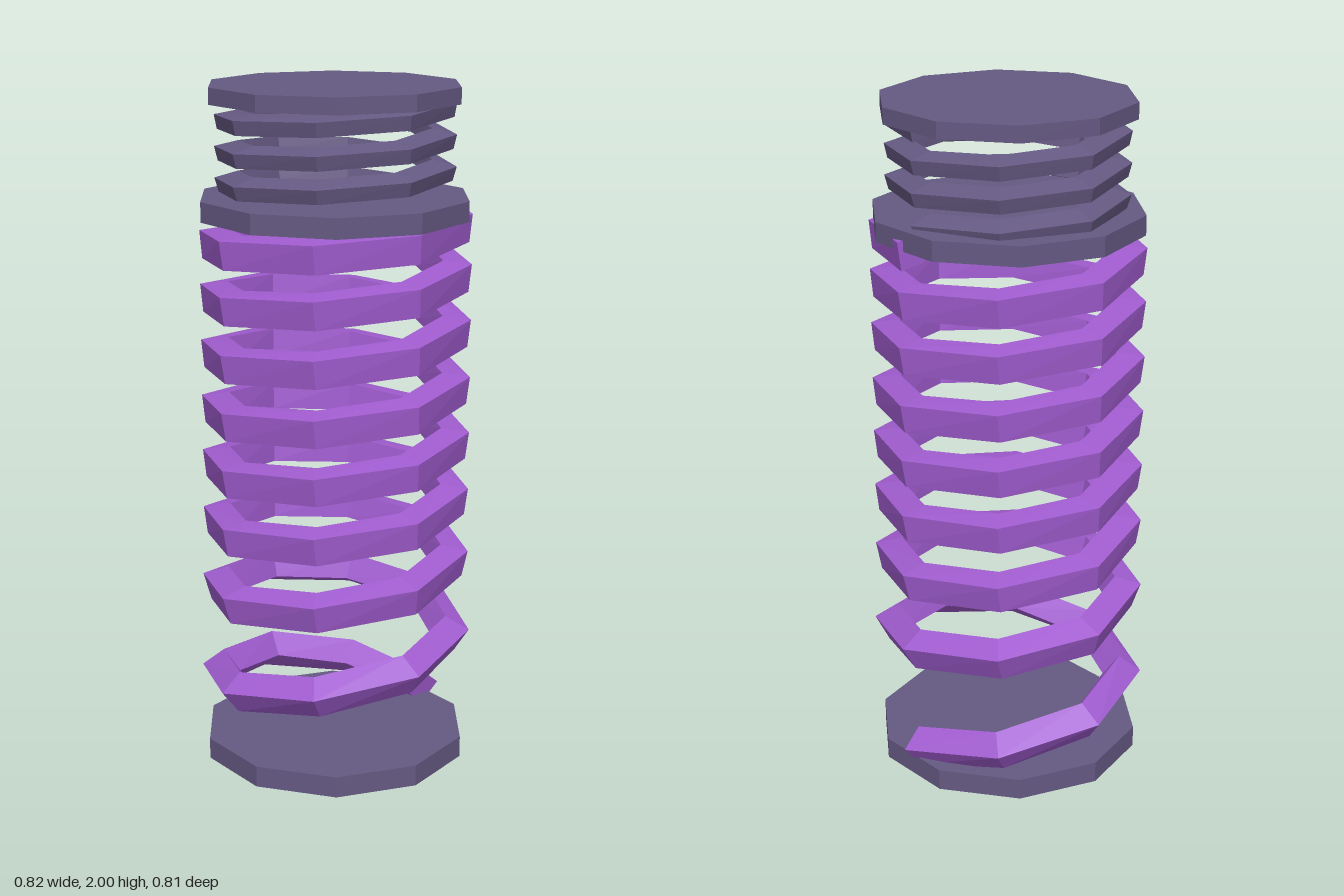
import * as THREE from 'three';

const PURPLE = new THREE.MeshStandardMaterial({ color: 0xa05ccf, flatShading: true });
PURPLE.name = 'purple coil';
const SLATE = new THREE.MeshStandardMaterial({ color: 0x655982, flatShading: true });
SLATE.name = 'slate purple';

const SIDES = 8; // straight pieces per turn

// Linear lookup in a list of [turn, value] pairs
function lookup(keys, t) {
  let i = 0;
  while (i < keys.length - 2 && t > keys[i + 1][0]) i++;
  const [t0, v0] = keys[i], [t1, v1] = keys[i + 1];
  return v0 + (v1 - v0) * (t - t0) / (t1 - t0);
}

// Faceted helix with a rectangular section that rolls along its length
function coilGeometry({ turns, radius, halfWidth, halfHeight, heights, rolls }) {
  const count = turns * SIDES;
  const centre = (i) => {
    const a = i / SIDES * Math.PI * 2;
    return new THREE.Vector3(Math.cos(a) * radius, lookup(heights, i / SIDES), -Math.sin(a) * radius);
  };
  const rings = [];
  for (let i = 0; i <= count; i++) {
    const a = i / SIDES * Math.PI * 2;
    const c = centre(i);
    const out = new THREE.Vector3(Math.cos(a), 0, -Math.sin(a));
    const along = centre(i + 1).sub(centre(i - 1)).normalize();
    const up = new THREE.Vector3().crossVectors(out, along).normalize();
    const roll = -THREE.MathUtils.degToRad(lookup(rolls, i / SIDES));
    const cos = Math.cos(roll), sin = Math.sin(roll);
    rings.push([[1, -1], [1, 1], [-1, 1], [-1, -1]].map(([u, v]) => {
      const r = u * halfWidth, h = v * halfHeight;
      return c.clone().addScaledVector(out, r * cos - h * sin).addScaledVector(up, r * sin + h * cos);
    }));
  }
  const points = [];
  const quad = (a, b, c, d) => points.push(a, b, c, a, c, d);
  for (let i = 0; i < count; i++) {
    for (let k = 0; k < 4; k++) {
      const n = (k + 1) % 4;
      quad(rings[i][k], rings[i + 1][k], rings[i + 1][n], rings[i][n]);
    }
  }
  // end caps
  const first = rings[0], last = rings[count];
  quad(first[0], first[1], first[2], first[3]);
  quad(last[3], last[2], last[1], last[0]);
  const geometry = new THREE.BufferGeometry().setFromPoints(points);
  geometry.computeVertexNormals();
  return geometry;
}

export function createModel() {
  const model = new THREE.Group();
  model.name = 'doubleSpring';

  const add = (name, geometry, material) => {
    const mesh = new THREE.Mesh(geometry, material);
    mesh.name = name;
    model.add(mesh);
    return mesh;
  };

  // Ten-sided plates
  const plate = (name, radius, bottom, top) => {
    add(name, new THREE.CylinderGeometry(radius, radius, top - bottom, 10), SLATE)
      .position.y = (bottom + top) / 2;
  };
  plate('basePlate', 0.395, 0, 0.063);
  plate('middlePlate', 0.395, 1.627, 1.685);
  plate('topPlate', 0.367, 1.953, 2);

  // Large spring, stretched and twisted near the base
  add('mainSpring', coilGeometry({
    turns: 8, radius: 0.35, halfWidth: 0.041, halfHeight: 0.041,
    heights: [[0, 0.085], [0.25, 0.19], [0.5, 0.25], [0.75, 0.335], [1, 0.41], [1.25, 0.47],
      [1.5, 0.522], [2, 0.63], [2.5, 0.725], [3, 0.815], [4, 0.985], [5, 1.15], [6, 1.32],
      [7, 1.48], [7.5, 1.557], [8, 1.62]],
    rolls: [[0, 40], [0.75, 35], [1.5, 15], [2.5, 8], [8, 6]],
  }), PURPLE);

  // Small, tightly wound spring
  add('upperSpring', coilGeometry({
    turns: 3, radius: 0.307, halfWidth: 0.036, halfHeight: 0.021,
    heights: [[0, 1.685], [3, 1.95]],
    rolls: [[0, 18], [3, 10]],
  }), SLATE);

  return model;
}
